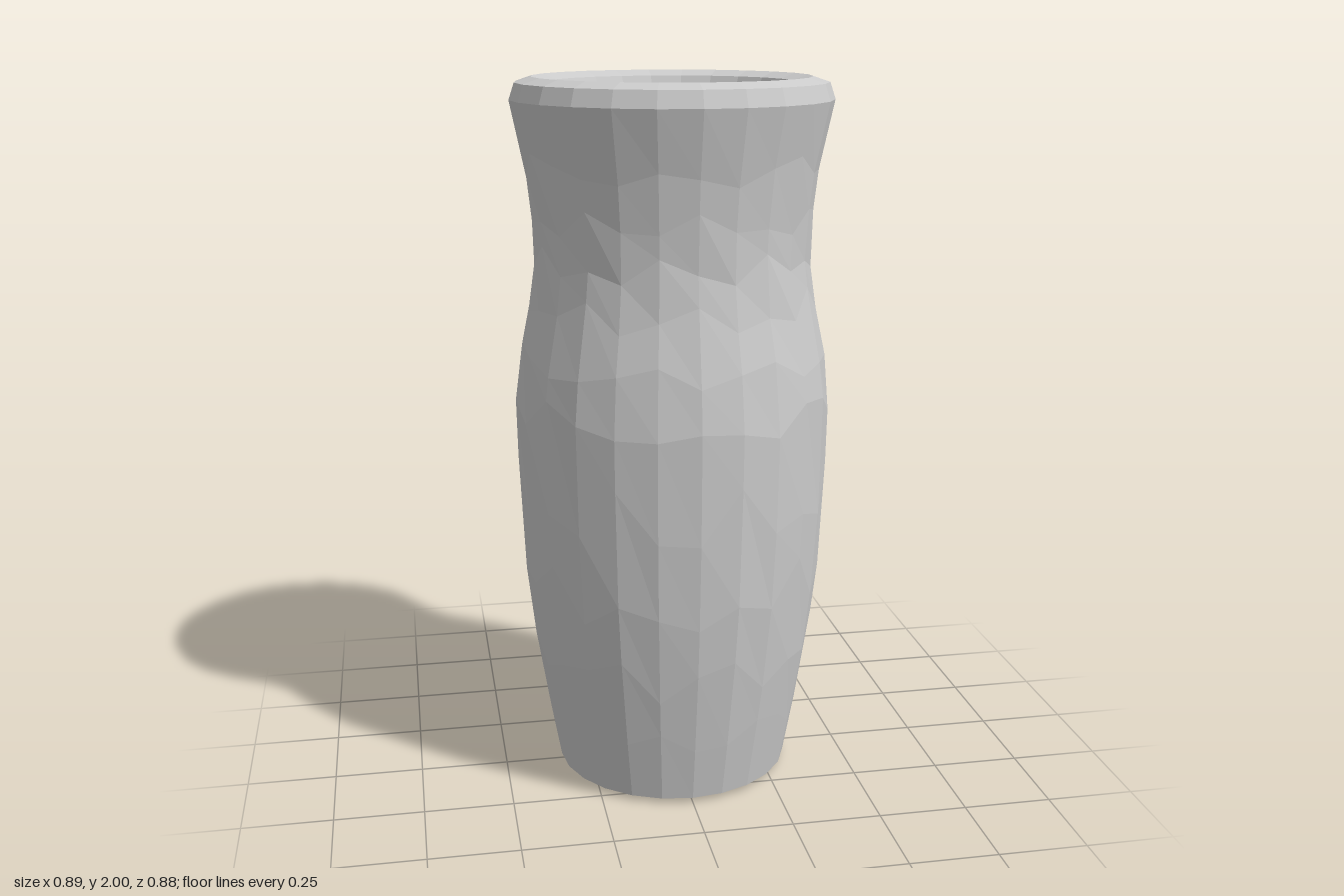
import * as THREE from 'three';

const SIDES = 24;

// Closed profile as [radius, height]: dished underside, outer wall, lip, inner wall, floor
const PROFILE = [
  [0, 0.08], [0.2, 0.02], [0.3, 0.005], [0.335, 0.02],
  [0.367, 0.2], [0.4, 0.4], [0.425, 0.62], [0.438, 0.85], [0.443, 1.13],
  [0.428, 1.25], [0.395, 1.4], [0.38, 1.52], [0.386, 1.63], [0.402, 1.77], [0.44, 1.94],
  [0.425, 1.985], [0.38, 2], [0.335, 1.985],
  [0.31, 1.92], [0.275, 1.75], [0.247, 1.55], [0.26, 1.4], [0.305, 1.2],
  [0.315, 0.95], [0.3, 0.6], [0.265, 0.3], [0.225, 0.16], [0.19, 0.13], [0, 0.13],
];

// Slides the wall rings gently up and down along the profile for a hand-cut look
function handCut(geometry) {
  const pos = geometry.attributes.position;
  const rings = PROFILE.length;
  for (let i = 0; i < pos.count; i++) {
    const side = Math.floor(i / rings) % SIDES;
    const ring = i % rings;
    const outer = ring >= 4 && ring <= 13;
    const inner = ring >= 19 && ring <= 25;
    if (!outer && !inner) continue;
    const shift = 0.4 * Math.sin(side * 2.4 + ring * 1.7) * Math.cos(side * 0.9 - ring);
    const [r0, y0] = PROFILE[ring];
    const [r1, y1] = PROFILE[ring + Math.sign(shift)];
    const t = Math.abs(shift);
    const scale = THREE.MathUtils.lerp(r0, r1, t) / r0;
    pos.setXYZ(i, pos.getX(i) * scale, THREE.MathUtils.lerp(y0, y1, t), pos.getZ(i) * scale);
  }
}

export function createModel() {
  const group = new THREE.Group();
  group.name = 'vase';

  // Thick-walled hollow body turned in one piece
  const points = PROFILE.map(([r, y]) => new THREE.Vector2(r, y));
  const lathe = new THREE.LatheGeometry(points, SIDES);
  handCut(lathe);
  const geometry = lathe.toNonIndexed();
  geometry.computeVertexNormals();

  const material = new THREE.MeshStandardMaterial({ color: 0xcccccc, flatShading: true });
  const body = new THREE.Mesh(geometry, material);
  body.name = 'vaseBody';
  group.add(body);
  return group;
}
